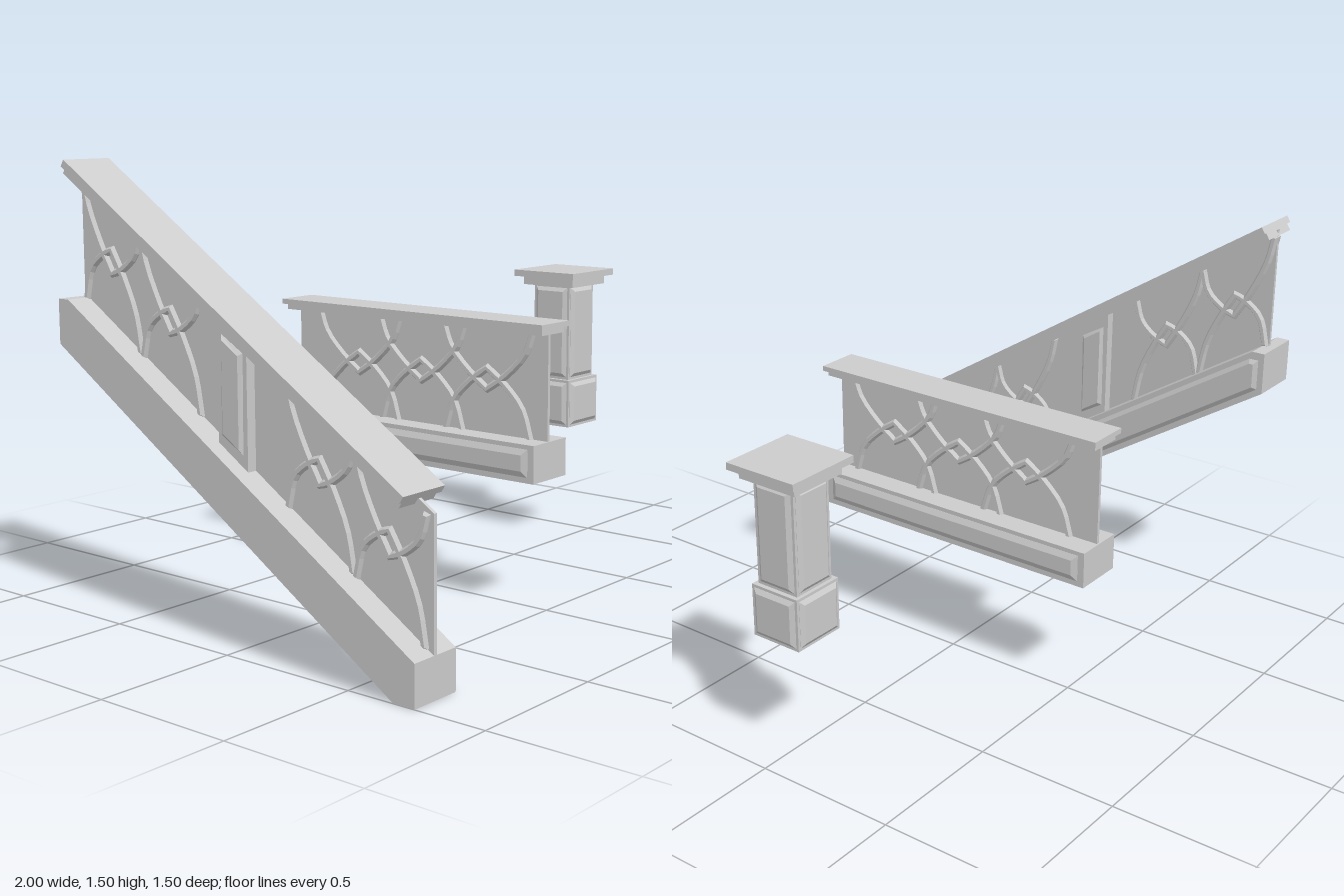
import * as THREE from 'three';

const material = new THREE.MeshStandardMaterial({ color: 0xcccccc, flatShading: true });

function addMesh(parent, name, geometry) {
  const mesh = new THREE.Mesh(geometry, material);
  mesh.name = name;
  parent.add(mesh);
  return mesh;
}

function box(parent, name, [w, h, d], [x, y, z]) {
  return addMesh(parent, name, new THREE.BoxGeometry(w, h, d)).position.set(x, y, z);
}

// Side outline in (u = -z, y), extruded along x and centred on x
function slab(parent, name, points, width, x = 0, bevel = 0, bevelSize = bevel) {
  const shape = new THREE.Shape(points.map(([u, y]) => new THREE.Vector2(u, y)));
  const depth = width - 2 * bevel;
  const geometry = new THREE.ExtrudeGeometry(shape, {
    depth, bevelEnabled: bevel > 0, bevelThickness: bevel, bevelSize, bevelSegments: 1,
  });
  geometry.translate(0, 0, -depth / 2);
  geometry.rotateY(Math.PI / 2);
  const mesh = addMesh(parent, name, geometry);
  mesh.position.x = x;
  return mesh;
}

const rect = (u0, u1, y0, y1) => [[u0, y0], [u1, y0], [u1, y1], [u0, y1]];

// Raised field with sloping borders, half sunk into a face
const raisedPanel = (parent, points, x, border = 0.02) =>
  slab(parent, 'raisedPanel', points, 0.022, x, 0.01, border);

// Square block with a raised field on each of its four sides
function panelledBlock(parent, name, width, depth, y0, y1, margin) {
  const block = new THREE.Group();
  block.name = name;
  box(block, name + 'Core', [width, y1 - y0, depth], [0, (y0 + y1) / 2, 0]);
  for (let i = 0; i < 4; i++) {
    const [across, out] = i % 2 ? [width, depth] : [depth, width];
    const side = new THREE.Group();
    side.name = name + 'Side';
    const half = across / 2 - margin;
    raisedPanel(side, rect(-half, half, y0 + margin, y1 - margin), out / 2, margin * 0.6);
    side.rotation.y = i * Math.PI / 2;
    block.add(side);
  }
  parent.add(block);
  return block;
}

// Half profiles of the crossing ribs: across, up (both as fractions)
const upperRib = [[1, 1], [0.85, 0.8], [0.42, 0.57], [0, 0.42]];
const lowerRib = [[0.95, 0], [0.78, 0.26], [0.38, 0.48], [0, 0.62]];

// One motif: a hanging curve and an arch that cross in a small diamond
function tracery(parent, centre, halfWidth, baseAt, height) {
  for (const profile of [upperRib, lowerRib]) {
    const half = new THREE.CatmullRomCurve3(profile.map(([a, b]) => new THREE.Vector3(a, b, 0))).getPoints(9);
    const path = [...half, ...half.slice(0, -1).reverse().map((p) => new THREE.Vector3(-p.x, p.y, 0))]
      .map((p) => {
        const u = centre + p.x * halfWidth;
        return new THREE.Vector2(u, baseAt(u) + p.y * height);
      });
    const left = [], right = [];
    path.forEach((p, i) => {
      const t = path[Math.min(i + 1, path.length - 1)].clone().sub(path[Math.max(i - 1, 0)]).normalize();
      left.push([p.x - t.y * 0.006, p.y + t.x * 0.006]);
      right.push([p.x + t.y * 0.006, p.y - t.x * 0.006]);
    });
    slab(parent, 'traceryRib', [...left, ...right.reverse()], 0.038, 0, 0.01, 0.007);
  }
}

function createPost() {
  const post = new THREE.Group();
  post.name = 'newelPost';
  panelledBlock(post, 'postBase', 0.192, 0.186, 0.453, 0.634, 0.024);
  panelledBlock(post, 'postShaft', 0.16, 0.16, 0.634, 0.995, 0.024);
  box(post, 'capMoulding', [0.216, 0.033, 0.225], [0, 1.008, 0]);
  box(post, 'capSlab', [0.274, 0.024, 0.27], [0, 1.036, 0]);
  post.position.set(0.86, 0, -0.035);
  return post;
}

function createLevelRailing() {
  const rail = new THREE.Group();
  rail.name = 'levelRailing';
  box(rail, 'bottomBeam', [0.184, 0.128, 1.115], [0, 0.518, 0]);
  for (const side of [-1, 1]) raisedPanel(rail, rect(-0.513, 0.513, 0.493, 0.547), side * 0.092);
  box(rail, 'backSheet', [0.012, 0.38, 1.103], [0, 0.76, 0]);
  for (const u of [-0.295, -0.01, 0.275].map((v) => v + 0.04 - 0.01)) {
    tracery(rail, u - 0.045 + 0.005, 0.187, () => 0.58, 0.362);
  }
  box(rail, 'handrailMoulding', [0.123, 0.022, 1.13], [0, 0.951, 0]);
  box(rail, 'handrail', [0.155, 0.018, 1.152], [0, 0.969, 0]);
  rail.position.set(-0.016, 0, -0.04);
  return rail;
}

function createStairRailing() {
  const rail = new THREE.Group();
  rail.name = 'stairRailing';
  const beamTop = (u) => 0.135 + 0.63 * (u + 0.75);

  // Sloping beam, with a raised field on its outer face
  slab(rail, 'slopingBeam',
    [[-0.75, 0], [-0.672, 0], [0.752, 0.903], [0.752, 1.052], [0.705, 1.052], [-0.75, 0.135]], 0.188);
  raisedPanel(rail,
    [[-0.705, 0.035], [-0.68, 0.035], [0.715, 0.923], [0.715, 1.009], [0.7, 1.009], [-0.705, 0.122]], 0.094, 0.015);

  // Thin sheet and its ribs
  slab(rail, 'backSheet', [[-0.75, beamTop(-0.75) - 0.03], [0.724, beamTop(0.724) - 0.03],
    [0.724, beamTop(0.724) + 0.415], [-0.75, beamTop(-0.75) + 0.415]], 0.012);
  for (const u of [-0.59, -0.32, 0.31, 0.58]) tracery(rail, u, 0.135, beamTop, 0.391);

  // Middle pilaster
  const pilasterOutline = (half, low, high) => [[-half, beamTop(-half) + low], [half, beamTop(half) + low],
    [half, beamTop(half) + high], [-half, beamTop(-half) + high]];
  const pilaster = new THREE.Group();
  pilaster.name = 'middlePilaster';
  slab(pilaster, 'pilasterCore', pilasterOutline(0.062, -0.03, 0.4), 0.08);
  for (const side of [-1, 1]) raisedPanel(pilaster, pilasterOutline(0.034, 0.05, 0.34), side * 0.04, 0.013);
  pilaster.position.set(0, 0.006, -0.01);
  rail.add(pilaster);

  // Sloping handrail in two layers, square cut at the ends
  const layer = (name, width, top, bottom, extra) => {
    const a = [-0.71 - extra * 0.846, 0.608 - extra * 0.533];
    const b = [0.705 + extra * 0.846, 1.503 + extra * 0.533];
    const drop = ([u, y], t) => [u + 0.534 * t, y - 0.845 * t];
    slab(rail, name, [drop(a, bottom), drop(b, bottom), drop(b, top), drop(a, top)], width);
  };
  layer('handrail', 0.188, 0, 0.025, 0);
  layer('handrailMoulding', 0.155, 0.025, 0.05, -0.004);

  rail.position.x = -0.906;
  return rail;
}

export function createModel() {
  const model = new THREE.Group();
  model.name = 'balustradeSet';
  model.add(createStairRailing(), createLevelRailing(), createPost());
  return model;
}
